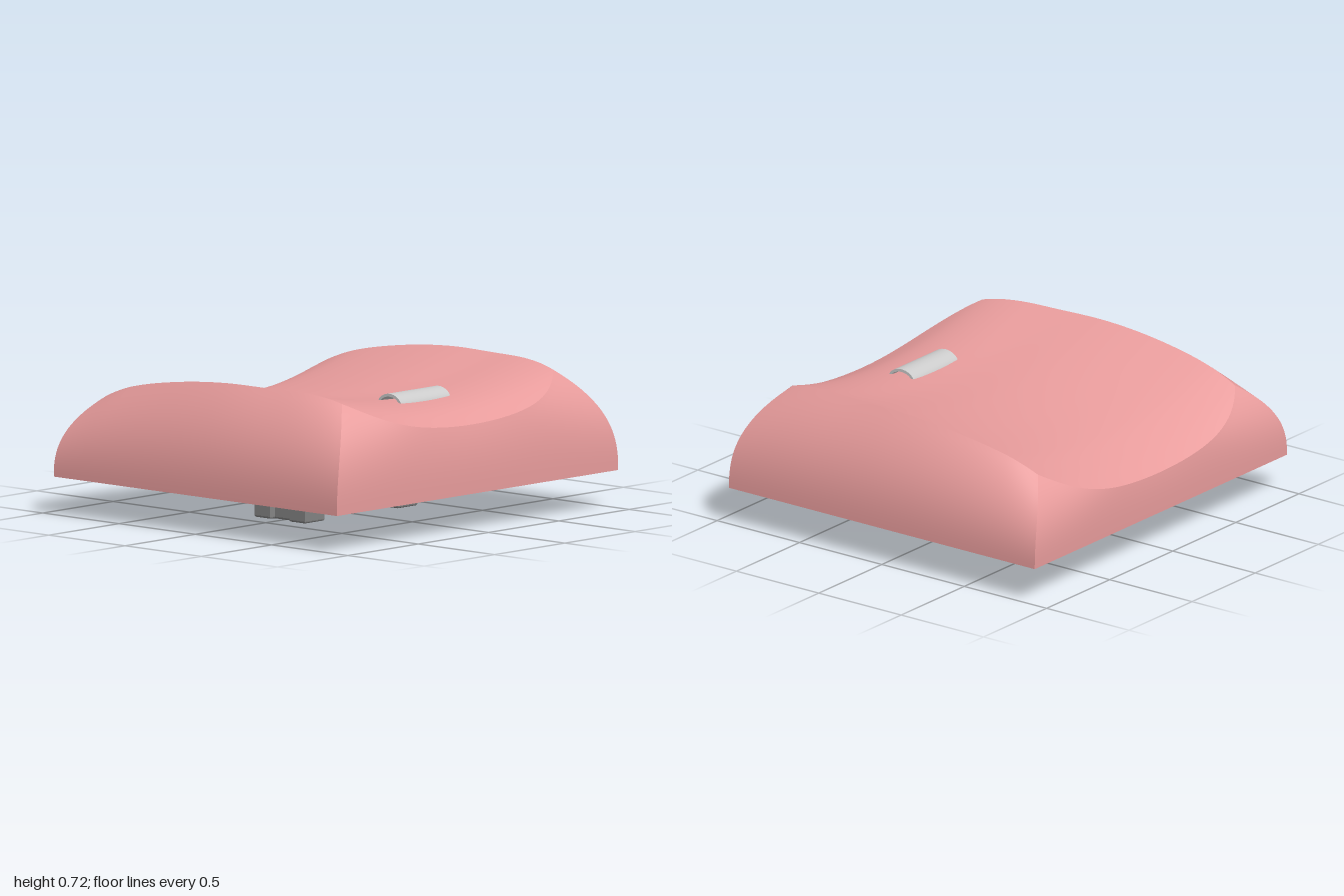
import * as THREE from 'three';

const pink = new THREE.MeshStandardMaterial({ color: 0xe89c9c });
const light = new THREE.MeshStandardMaterial({ color: 0xcccccc });
const dark = new THREE.MeshStandardMaterial({ color: 0x828282 });

const BASE_Y = 0.185, HALF_X = 1, HALF_Z = 0.928;

// Height of the dish along its centre line, as [z, y]
const ridge = [[-0.95, 0.35], [-0.91, 0.39], [-0.78, 0.458], [-0.6, 0.518], [-0.3, 0.568], [0, 0.595],
  [0.3, 0.6], [0.55, 0.602], [0.73, 0.577], [0.89, 0.515], [0.95, 0.48]];

// Smooth cubic interpolation of the centre line
function ridgeHeight(z) {
  const last = ridge.length - 1;
  let i = 0;
  while (i < last - 1 && z > ridge[i + 1][0]) i++;
  const slope = (k) => {
    const a = ridge[Math.max(k - 1, 0)], b = ridge[Math.min(k + 1, last)];
    return (b[1] - a[1]) / (b[0] - a[0]);
  };
  const [z0, y0] = ridge[i], [z1, y1] = ridge[i + 1];
  const h = z1 - z0, t = (z - z0) / h, t2 = t * t, t3 = t2 * t;
  return y0 * (2 * t3 - 3 * t2 + 1) + y1 * (3 * t2 - 2 * t3)
    + h * (slope(i) * (t3 - 2 * t2 + t) + slope(i + 1) * (t3 - t2));
}

// Point of the dish for u (across) and v (back to front), both -1..1
function dish(u, v) {
  const bulge = 1 - Math.abs(u) ** 4.7;
  const back = -0.78 - 0.137 * bulge, front = 0.73 + 0.16 * bulge;
  const x = u * (0.805 - 0.015 * v - 0.04 * v * v);
  const z = THREE.MathUtils.lerp(back, front, (v + 1) / 2);
  return [x, ridgeHeight(z) + 0.1875 * x * x, z];
}

// Perimeter of the unit square: side 0 front, 1 left, 2 back, 3 right
const perimeter = (side, s) => [[s, 1], [1, -s], [-s, -1], [-1, s]][side];

// Smooth surface over s, t in 0..1; it faces along ds x dt
function surface(name, ns, nt, point) {
  const pos = [], idx = [];
  for (let j = 0; j <= nt; j++) {
    for (let i = 0; i <= ns; i++) pos.push(...point(i / ns, j / nt));
  }
  for (let j = 0; j < nt; j++) {
    for (let i = 0; i < ns; i++) {
      const a = j * (ns + 1) + i, b = a + 1, c = a + ns + 1, d = c + 1;
      idx.push(a, b, d, a, d, c);
    }
  }
  const geo = new THREE.BufferGeometry();
  geo.setAttribute('position', new THREE.Float32BufferAttribute(pos, 3));
  geo.setIndex(idx);
  geo.computeVertexNormals();
  const mesh = new THREE.Mesh(geo, pink);
  mesh.name = name;
  return mesh;
}

// Upright prism from a plan outline, from y0 up to y1, with small rounded edges
function prism(name, shape, y0, y1, bevel, material) {
  const geo = new THREE.ExtrudeGeometry(shape, {
    depth: y1 - y0 - 2 * bevel, bevelSize: bevel, bevelThickness: bevel, bevelOffset: -bevel,
    bevelSegments: 3, curveSegments: 12,
  });
  geo.rotateX(-Math.PI / 2);
  geo.translate(0, y0 + bevel, 0);
  const mesh = new THREE.Mesh(geo, material);
  mesh.name = name;
  return mesh;
}

// Rectangle of half sizes w, d with round corners
function roundedRect(w, d, r) {
  const shape = new THREE.Shape();
  shape.absarc(w - r, d - r, r, 0, Math.PI / 2);
  shape.absarc(r - w, d - r, r, Math.PI / 2, Math.PI);
  shape.absarc(r - w, r - d, r, Math.PI, Math.PI * 1.5);
  shape.absarc(w - r, r - d, r, Math.PI * 1.5, Math.PI * 2);
  return shape;
}

// Dumbbell plan of a stem leg with its narrower waist
function legShape() {
  const w = 0.07, d = 0.165, waist = 0.045, n = 0.055;
  const half = [[w, -d], [w, -n - 0.01], [waist, -n], [waist, n], [w, n + 0.01], [w, d]];
  const points = [...half, ...half.map(([x, z]) => [-x, -z])];
  return new THREE.Shape(points.map(([x, z]) => new THREE.Vector2(x, z)));
}

export function createModel() {
  const model = new THREE.Group();
  model.name = 'keycap';

  // Scooped top
  model.add(surface('dishedTop', 72, 72, (s, t) => dish(2 * t - 1, 2 * s - 1)));

  // Curved walls, flat lower rim and hollow underside
  const { lerp } = THREE.MathUtils;
  ['front', 'left', 'back', 'right'].forEach((label, side) => {
    model.add(surface(label + 'Wall', 72, 20, (s, t) => {
      const [u, v] = perimeter(side, 2 * s - 1);
      const [x, y, z] = dish(u, v);
      return [lerp(u * HALF_X, x, t ** 2.4), lerp(BASE_Y, y, t), lerp(v * HALF_Z, z, t ** 2.8)];
    }));
    model.add(surface(label + 'LowerRim', 1, 1, (s, t) => {
      const [u, v] = perimeter(side, 1 - 2 * s);
      return [u * (HALF_X - 0.13 * t), BASE_Y, v * (HALF_Z - 0.128 * t)];
    }));
    model.add(surface(label + 'Cavity', 24, 32, (s, t) => {
      const [u, v] = perimeter(side, 1 - 2 * s);
      const r = 1 - t ** 1.8;
      return [u * 0.87 * r, BASE_Y + 0.245 * (1 - r ** 10), v * 0.8 * r];
    }));
  });

  // Low boss under the ceiling that carries the stem
  model.add(prism('stemBoss', roundedRect(0.54, 0.27, 0.14), 0.412, 0.46, 0.015, pink));

  // Two stem legs, with mounting plates set into the boss
  for (const sign of [-1, 1]) {
    const leg = prism('stemLeg', legShape(), 0, 0.45, 0.01, dark);
    leg.position.x = sign * 0.33;
    const plate = prism('mountPlate', roundedRect(0.18, 0.18, 0.02), 0.406, 0.44, 0.003, dark);
    plate.position.x = sign * 0.27;
    model.add(leg, plate);
  }

  // Arched homing bar on the dish
  const arch = new THREE.Shape();
  arch.absellipse(0, 0, 0.081, 0.064, 0, Math.PI, false);
  arch.absellipse(0, 0, 0.068, 0.05, Math.PI, 0, true);
  const barGeo = new THREE.ExtrudeGeometry(arch, { depth: 0.35, bevelEnabled: false, curveSegments: 32 });
  barGeo.translate(0, 0, -0.175);
  barGeo.rotateY(Math.PI / 2);
  const bar = new THREE.Mesh(barGeo, light);
  bar.name = 'homingBar';
  bar.position.set(0, 0.581, 0.512);
  model.add(bar);

  return model;
}
